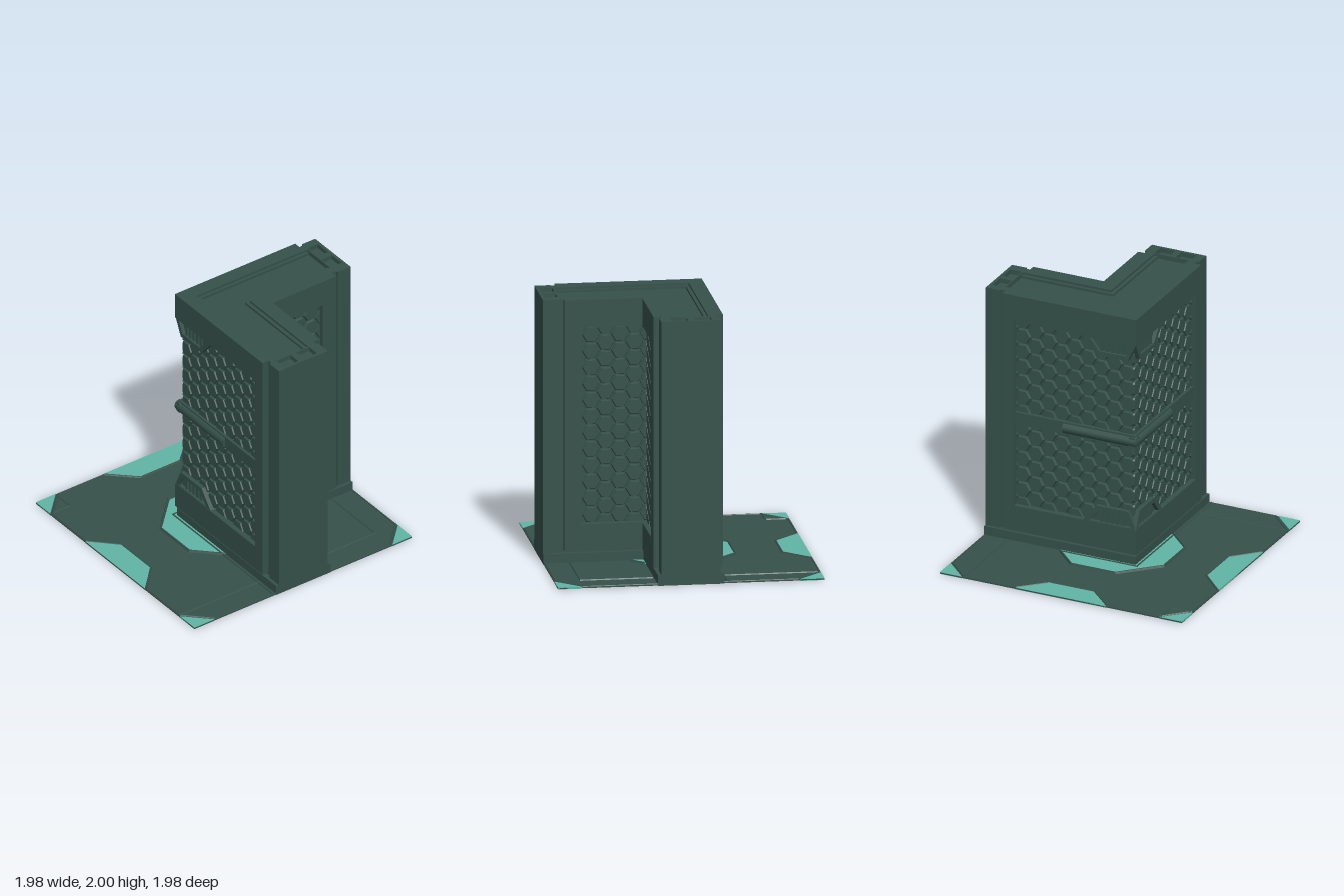
import * as THREE from 'three';

// The wall is hollow and open underneath, so its material shows both sides
const wallMat = new THREE.MeshStandardMaterial({ color: 0x355049, side: THREE.DoubleSide });
wallMat.name = 'dark green metal';
const tealMat = new THREE.MeshStandardMaterial({ color: 0x60b4a5 });
tealMat.name = 'teal inlay';

// Horizontal slab from [x, z] points between two heights
function slab(points, y0, y1, holes = []) {
  const v = (l) => l.map(([x, z]) => new THREE.Vector2(x, -z));
  const shape = new THREE.Shape(v(points));
  holes.forEach((h) => shape.holes.push(new THREE.Path(v(h))));
  const g = new THREE.ExtrudeGeometry(shape, { depth: y1 - y0, bevelEnabled: false });
  return g.rotateX(-Math.PI / 2).translate(0, y0, 0);
}

function box(x0, x1, y0, y1, z0, z1) {
  return new THREE.BoxGeometry(x1 - x0, y1 - y0, z1 - z0)
    .translate((x0 + x1) / 2, (y0 + y1) / 2, (z0 + z1) / 2);
}

// Remove downward faces, leaving the part hollow underneath
function openBottom(geo) {
  const g = geo.index ? geo.toNonIndexed() : geo;
  const p = g.attributes.position.array, n = g.attributes.normal.array;
  const pos = [], nor = [];
  for (let i = 0; i < p.length; i += 9) {
    if (n[i + 1] < -0.9) continue;
    for (let k = 0; k < 9; k++) { pos.push(p[i + k]); nor.push(n[i + k]); }
  }
  const out = new THREE.BufferGeometry();
  out.setAttribute('position', new THREE.Float32BufferAttribute(pos, 3));
  out.setAttribute('normal', new THREE.Float32BufferAttribute(nor, 3));
  return out;
}

// Mirror across the diagonal: exchange x and z, then reverse the corner order
function swapXZ(geo) {
  const g = geo.index ? geo.toNonIndexed() : geo.clone();
  for (const key of ['position', 'normal']) {
    const a = g.attributes[key], src = a.array.slice();
    for (let i = 0; i < a.count; i++) {
      const j = 3 * (i % 3 === 1 ? i + 1 : i % 3 === 2 ? i - 1 : i);
      a.setXYZ(i, src[j + 2], src[j + 1], src[j]);
    }
  }
  return g;
}

// Cut a polygon at a limit along one axis
function clip(poly, axis, limit, sign) {
  const out = [];
  poly.forEach((a, i) => {
    const b = poly[(i + 1) % poly.length];
    const da = sign * (limit - a[axis]), db = sign * (limit - b[axis]);
    if (da >= 0) out.push(a);
    if (da * db < 0) {
      const t = da / (da - db);
      out.push([a[0] + (b[0] - a[0]) * t, a[1] + (b[1] - a[1]) * t]);
    }
  });
  return out;
}

// Field of bevelled hexagon plates filling a rectangle, facing +z
function hexField(x0, x1, y0, y1, startX) {
  const pitch = 0.1075, rise = 0.124, R = 0.067, h = 0.018, pos = [];
  for (let k = -14; k < 14; k++) for (let j = -1; j < 14; j++) {
    const cx = startX + k * pitch, cy = 0.3 + rise * (j + (k & 1 ? 0.5 : 0));
    let poly = [];
    for (let i = 0; i < 6; i++) poly.push([cx + R * Math.cos(i * Math.PI / 3), cy + R * Math.sin(i * Math.PI / 3)]);
    poly = clip(clip(clip(clip(poly, 0, x1, 1), 0, x0, -1), 1, y1, 1), 1, y0, -1);
    if (poly.length < 3) continue;
    const mx = poly.reduce((s, p) => s + p[0], 0) / poly.length;
    const my = poly.reduce((s, p) => s + p[1], 0) / poly.length;
    const top = poly.map(([x, y]) => [mx + (x - mx) * 0.88, my + (y - my) * 0.88]);
    poly.forEach((a, i) => {
      const n = (i + 1) % poly.length, b = poly[n], c = top[n], d = top[i];
      pos.push(...a, 0, ...b, 0, ...c, h, ...a, 0, ...c, h, ...d, h, mx, my, h, ...d, h, ...c, h);
    });
  }
  const g = new THREE.BufferGeometry();
  g.setAttribute('position', new THREE.Float32BufferAttribute(pos, 3));
  g.computeVertexNormals();
  return g;
}

export function createModel() {
  const model = new THREE.Group();
  model.name = 'cornerWall';
  const add = (name, geo, mat = wallMat, mirrored = true) => {
    (mirrored ? [geo, swapXZ(geo)] : [geo]).forEach((g) => {
      const m = new THREE.Mesh(g, mat);
      m.name = name;
      model.add(m);
    });
  };
  const ell = (o, i, e) => [[-o, -o], [e, -o], [e, i], [i, i], [i, e], [-o, e]];
  const E = 0.99, W = 0.258, C = 0.205, F = 0.24;

  // Floor in two pieces around the wall
  add('floor', slab([[-E, -E], [E, -E], [E, -F], [-F, -F], [-F, E], [-E, E]], 0.003, 0.012), wallMat, false);
  add('innerFloor', slab([[F, F], [E, F], [E, E], [F, E]], 0.003, 0.012), wallMat, false);

  // Bevelled floor trim along a path
  const trim = (pts, y = 0.02, w = 0.026, mirrored = true) => {
    const profile = new THREE.Shape([[-0.5, 0.004], [0.5, 0.004], [0.15, y], [-0.15, y]]
      .map(([x, h]) => new THREE.Vector2(x * w, h)));
    for (let i = 0; i + 1 < pts.length; i++) {
      const [ax, az] = pts[i], [bx, bz] = pts[i + 1];
      const depth = Math.hypot(bx - ax, bz - az) + w * 0.3;
      const g = new THREE.ExtrudeGeometry(profile, { depth, bevelEnabled: false })
        .translate(0, 0, -depth / 2)
        .rotateY(Math.atan2(bx - ax, bz - az))
        .translate((ax + bx) / 2, 0, (az + bz) / 2);
      add('floorTrim', g, wallMat, mirrored);
    }
  };

  // Teal floor inlays with their trim
  add('centreInlay', slab([[0.36, -F], [0.36, -0.26], [0.18, -0.44], [-0.18, -0.44], [-0.44, -0.18],
    [-0.44, 0.18], [-0.26, 0.36], [-F, 0.36], [-F, -F]], 0, 0.016), tealMat, false);
  trim([[0.36, -0.265], [0.18, -0.445], [-0.18, -0.445], [-0.3125, -0.3125]], 0.027, 0.026);
  add('innerInlay', slab([[F, F], [0.38, F], [F, 0.38]], 0, 0.016), tealMat, false);
  trim([[0.36, 0.26], [0.26, 0.36]], 0.025, 0.022, false);
  add('edgeInlay', slab([[-0.37, -E], [-0.18, -0.8], [0.18, -0.8], [0.37, -E]], 0, 0.015), tealMat);
  trim([[-0.37, -0.978], [-0.18, -0.795], [0.18, -0.795], [0.37, -0.978]]);
  add('cornerInlay', slab([[0.81, -E], [E, -E], [E, -0.81]], 0, 0.015), tealMat);
  trim([[0.8, -0.975], [0.975, -0.8]]);
  for (const s of [-1, 1]) {
    add('cornerInlay', slab([[s * 0.81, s * E], [s * E, s * E], [s * E, s * 0.81]], 0, 0.015), tealMat, false);
    trim([[s * 0.8, s * 0.975], [s * 0.975, s * 0.8]], 0.02, 0.026, false);
  }
  // Panel lines and borders on the floor
  trim([[0.795, -0.97], [0.795, -0.26]], 0.02, 0.024);
  trim([[0.795, 0.26], [0.795, 0.795]], 0.02, 0.024);
  trim([[-0.81, -0.97], [-0.81, -0.82]], 0.02, 0.024);
  trim([[0.981, -0.8], [0.981, -0.25]], 0.018, 0.016);
  trim([[0.981, 0.25], [0.981, 0.8]], 0.018, 0.016);
  trim([[-0.8, -0.981], [-0.37, -0.981]], 0.018, 0.016);
  trim([[0.37, -0.981], [0.8, -0.981]], 0.018, 0.016);
  trim([[-0.269, -0.269], [0.98, -0.269]], 0.022, 0.022);

  // Wall core and skirt, hollow underneath
  add('wallCore', openBottom(slab(ell(C, C, 0.9), 0, 1.95)), wallMat, false);
  add('skirt', openBottom(slab(ell(0.248, 0.248, E), 0, 0.08)), wallMat, false);
  add('endPost', openBottom(box(0.87, E, 0, 1.96, -0.222, 0.222)));

  // Full-width wall layers above and below the panels
  const half = [[0.835, -W], [0.835, -C], [0.87, -C], [0.87, -0.222], [E, -0.222], [E, 0.222],
    [0.87, 0.222], [0.87, C], [0.835, C], [0.835, W]];
  const outline = [[-W, -W], ...half, [W, W], ...half.map(([x, z]) => [z, x]).reverse()];
  add('lowerFrame', openBottom(slab(ell(W, W, 0.835), 0.098, 0.3)), wallMat, false);
  add('frameLedge', slab(ell(W, W, 0.835), 0.098, 0.1, [ell(C, C, 0.82)]), wallMat, false);
  add('upperFrame', slab(outline, 1.79, 1.965), wallMat, false);

  // Top with a stepped channel and sockets at both ends
  const sockets = [[-0.155, -0.03], [0.02, 0.14]].flatMap(([a, b]) => {
    const s = [[0.87, a], [0.965, a], [0.965, b], [0.87, b]];
    return [s, s.map(([x, z]) => [z, x])];
  });
  add('topChannel', slab(outline, 1.965, 1.983, [ell(0.12, 0.11, 0.86), ...sockets]), wallMat, false);
  add('topRim', slab(outline, 1.983, 2, [ell(0.145, 0.138, 0.86), ...sockets]), wallMat, false);

  // Upright frames beside the panels, and the middle band
  add('outerUpright', box(0.742, 0.835, 0.3, 1.79, -W, -0.2));
  add('innerUpright', box(0.71, 0.835, 0.3, 1.79, 0.2, W));
  add('middleBand', slab(ell(0.24, 0.15, 0.745), 0.95, 1.05), wallMat, false);

  // Honeycomb panels
  const outward = (g) => g.rotateY(Math.PI).translate(0, 0, -C);
  add('outerHoneycomb', outward(hexField(-0.742, 0.215, 0.3, 0.95, -0.69)));
  add('outerHoneycomb', outward(hexField(-0.742, 0.215, 1.05, 1.79, -0.69)));
  add('innerHoneycomb', hexField(C, 0.71, 0.3, 1.79, 0.31).translate(0, 0, C));

  // Rail wrapping the outer corner
  add('cornerRail', new THREE.CylinderGeometry(0.043, 0.043, 0.6, 12)
    .rotateZ(Math.PI / 2).translate(0.045, 1, -0.222));

  // Slatted vents by the corner, at the top and bottom of the panels
  for (const flip of [false, true]) {
    const Y = (y) => (flip ? 2.09 - y : y);
    const pts = (l) => l.map(([x, y]) => new THREE.Vector2(-x, Y(y)));
    const outer = pts([[0.18, 1.79], [0.07, 1.655], [-0.19, 1.655], [-0.252, 1.79]]);
    const hole = pts([[0.125, 1.785], [0.048, 1.688], [-0.17, 1.688], [-0.215, 1.785]]);
    const plate = (depth, cut) => {
      const s = new THREE.Shape(outer);
      if (cut) s.holes.push(new THREE.Path(hole));
      return outward(new THREE.ExtrudeGeometry(s, { depth, bevelEnabled: false }));
    };
    add('ventBack', plate(0.02, false));
    add('ventFrame', plate(0.05, true));
    for (let i = 0; i < 5; i++) {
      const x = -0.15 + i * 0.044, a = Y(1.685), b = Y(1.79);
      add('ventSlat', box(x, x + 0.02, Math.min(a, b), Math.max(a, b), -0.24, -0.215));
    }
  }
  return model;
}
